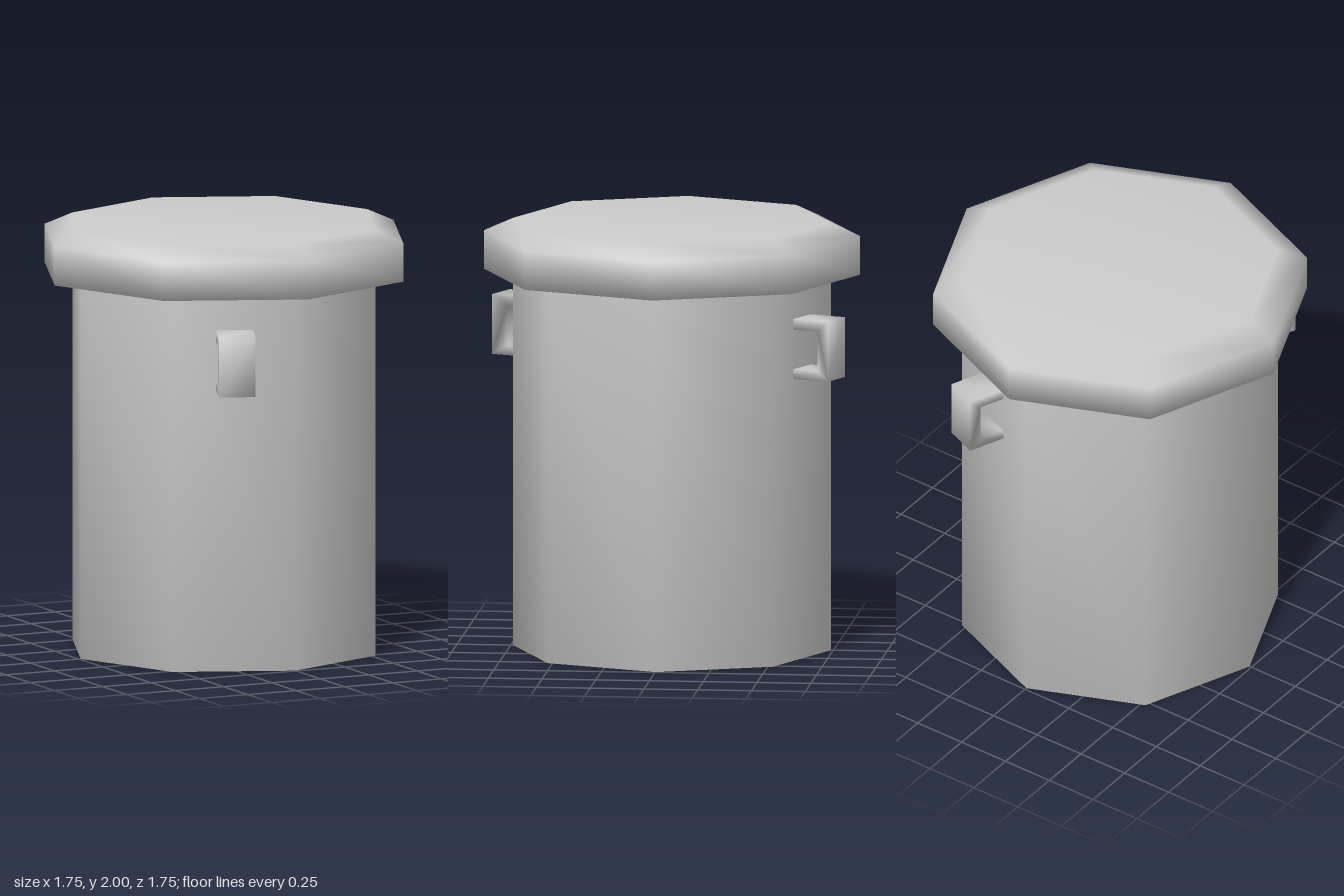
import * as THREE from 'three';
import { mergeVertices } from 'three/addons/utils/BufferGeometryUtils.js';

const material = new THREE.MeshStandardMaterial({ color: 0xcccccc });

// Weld the corners so that shading runs smoothly over the edges
function smooth(geometry) {
  geometry.deleteAttribute('uv');
  geometry.deleteAttribute('normal');
  const welded = mergeVertices(geometry, 1e-4);
  welded.computeVertexNormals();
  return welded;
}

function part(name, geometry) {
  const mesh = new THREE.Mesh(smooth(geometry), material);
  mesh.name = name;
  return mesh;
}

// Eight-sided turned form from [radius, height] points, corners on the axes
function octagon(name, profile) {
  return part(name, new THREE.LatheGeometry(profile.map(([r, y]) => new THREE.Vector2(r, y)), 8));
}

// C-shaped bracket: x points away from the wall, extruded across its width
function handle(name, reach, thickness, width, angle) {
  const wall = 0.67, low = 1.32, high = 1.6, inner = reach - thickness;
  const shape = new THREE.Shape([
    [wall, low], [reach, low], [reach, high], [wall, high],
    [wall, high - 0.05], [inner, high - 0.05], [inner, low + 0.045], [wall, low + 0.045],
  ].map(([x, y]) => new THREE.Vector2(x, y)));
  const geometry = new THREE.ExtrudeGeometry(shape, { depth: width, bevelEnabled: false });
  geometry.translate(0, 0, -width / 2);
  const mesh = part(name, geometry);
  mesh.rotation.y = angle;
  return mesh;
}

export function createModel() {
  const model = new THREE.Group();
  model.name = 'bin';

  // Closed bottom and straight wall
  model.add(octagon('body', [[0, 0], [0.74, 0], [0.74, 1.77]]));

  // Overhanging lid with a bevelled rim
  model.add(octagon('lid', [[0.7, 1.76], [0.875, 1.76], [0.875, 1.94], [0.74, 2], [0, 2]]));

  // Handles in the middle of two opposite wall panels
  const angle = -Math.PI * 5 / 8;
  model.add(handle('frontHandle', 0.9, 0.08, 0.17, angle));
  model.add(handle('backHandle', 0.865, 0.055, 0.165, angle + Math.PI));

  return model;
}
